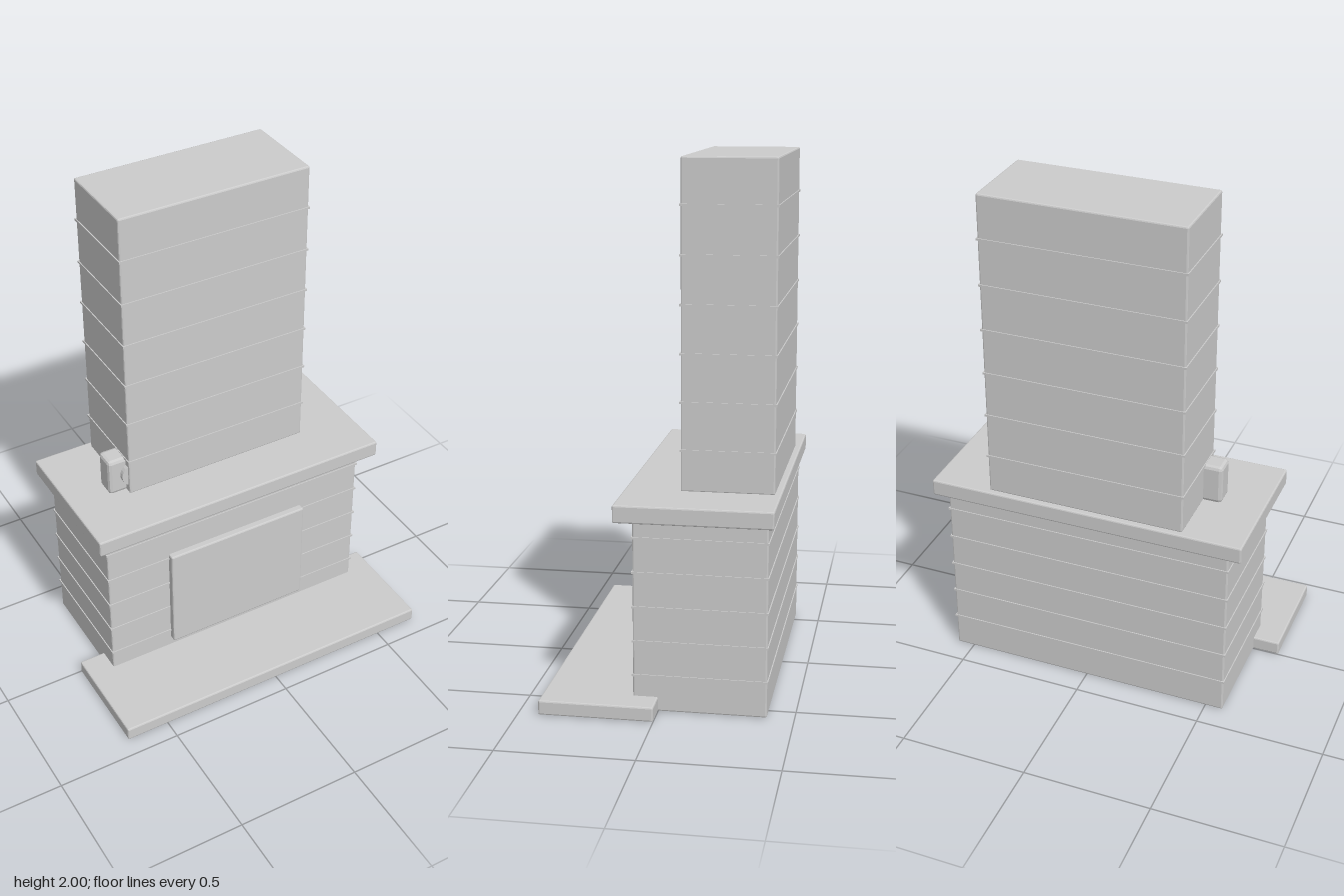
import * as THREE from 'three';
import { RoundedBoxGeometry } from 'three/addons/geometries/RoundedBoxGeometry.js';

export function createModel() {
  const model = new THREE.Group();
  model.name = 'fireplace';
  const material = new THREE.MeshStandardMaterial({ color: 0xcccccc, flatShading: true });

  const add = (name, geometry, x, y, z) => {
    const mesh = new THREE.Mesh(geometry, material);
    mesh.name = name;
    mesh.position.set(x, y, z);
    model.add(mesh);
    return mesh;
  };

  // Box with narrow chamfered edges, given by its extents on each axis
  const block = (name, [x0, x1], [y0, y1], [z0, z1], bevel = 0.006) =>
    add(name, new RoundedBoxGeometry(x1 - x0, y1 - y0, z1 - z0, 1, bevel),
      (x0 + x1) / 2, (y0 + y1) / 2, (z0 + z1) / 2);

  // Thin bands standing slightly proud of a masonry block
  const joints = (name, halfWidth, [z0, z1], firstY, step, count) => {
    const proud = 0.004;
    for (let i = 0; i < count; i++) {
      add(name, new THREE.BoxGeometry(2 * (halfWidth + proud), 0.008, z1 - z0 + 2 * proud),
        0, firstY + i * step, (z0 + z1) / 2);
    }
  };

  // Hearth slab in front
  block('hearth', [-0.675, 0.675], [0, 0.055], [0, 0.425]);

  // Firebox body with its mortar joints
  const bodyZ = [-0.4, 0.093];
  block('body', [-0.57, 0.57], [0, 0.725], bodyZ);
  joints('bodyJoint', 0.57, bodyZ, 0.135, 0.13, 5);

  // Panel covering the fire opening
  block('firePanel', [-0.305, 0.305], [0.092, 0.546], [0.06, 0.12]);

  // Mantel shelf
  block('mantel', [-0.625, 0.625], [0.722, 0.788], [-0.425, 0.155]);

  // Chimney breast with its mortar joints
  const chimneyZ = [-0.402, -0.054];
  block('chimney', [-0.39, 0.39], [0.785, 2], chimneyZ);
  joints('chimneyJoint', 0.39, chimneyZ, 0.94, 0.178, 6);

  // Mantel clock, partly set into the chimney side
  block('clockCase', [-0.463, -0.267], [0.785, 0.942], [-0.17, -0.083], 0.014);
  const dial = add('clockDial', new THREE.CylinderGeometry(0.05, 0.05, 0.03, 24), -0.365, 0.867, -0.079);
  dial.rotation.x = Math.PI / 2;

  return model;
}
